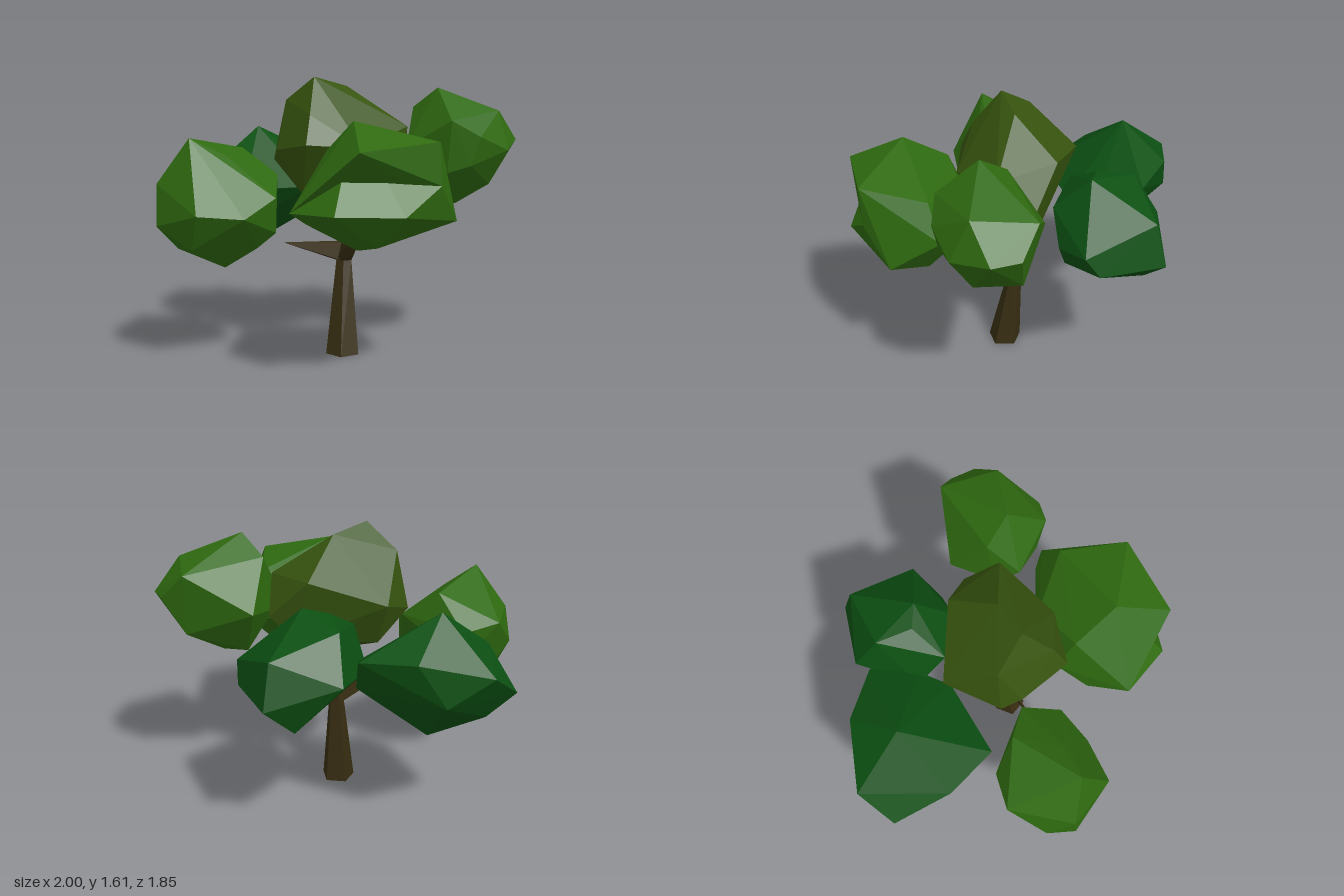
import * as THREE from 'three';
import { ConvexGeometry } from 'three/addons/geometries/ConvexGeometry.js';

const mat = (name, color) => {
  const m = new THREE.MeshStandardMaterial({ color, flatShading: true });
  m.name = name;
  return m;
};

// faceted solid wrapped around a few corner points
function hull(name, material, points) {
  const geo = new ConvexGeometry(points.map(p => new THREE.Vector3(...p)));
  const mesh = new THREE.Mesh(geo, material);
  mesh.name = name;
  return mesh;
}

// five-sided ring of corners for the trunk
function ring(cx, y, cz, rx, rz, tilt = 0) {
  return Array.from({ length: 5 }, (_, i) => {
    const a = (i / 5) * Math.PI * 2 + Math.PI / 2;
    return [cx + rx * Math.cos(a), y - tilt * Math.sin(a), cz + rz * Math.sin(a)];
  });
}

export function createModel() {
  const tree = new THREE.Group();
  tree.name = 'tree';
  const bark = mat('bark brown', 0x382e12);
  const leaf = mat('leaf green', 0x2f6a10);
  const olive = mat('olive green', 0x37540f);
  const deep = mat('deep green', 0x0c5012);

  // leaning trunk and its short branches
  const neck = ring(0.005, 0.545, -0.02, 0.047, 0.037);
  const crook = ring(0.02, 0.66, -0.035, 0.035, 0.028, 0.01);
  tree.add(
    hull('trunk', bark, [...ring(0.005, 0, 0.05, 0.1, 0.1), ...neck]),
    hull('trunkTop', bark, [...neck, ...crook]),
    hull('frontBranch', bark, [...neck, ...crook, [0.12, 0.7, 0.27], [0.07, 0.61, 0.2], [0.05, 0.69, 0.24]]),
    hull('sideBranch', bark, [neck[0], neck[1], crook[0], crook[1], [-0.32, 0.68, 0.2]]),
  );

  // side clump
  tree.add(hull('sideFoliage', leaf, [
    [-0.78, 1.28, 0.45], [-0.57, 1.21, 0.09], [-0.6, 1.18, 0.36], [-0.36, 1.06, 0.13],
    [-0.33, 0.95, 0.35], [-0.34, 0.75, 0.3], [-0.63, 0.55, 0.31], [-0.9, 0.65, 0.3],
    [-1, 0.86, 0.3], [-0.97, 1.03, 0.44], [-0.72, 1, 0.01], [-0.92, 1.05, 0.08],
    [-0.7, 0.88, 0.63], [-0.47, 0.85, 0.51], [-0.76, 0.68, 0.52], [-0.72, 0.83, 0.02],
    [-0.97, 0.8, 0.46], [-0.45, 0.66, 0.3], [-0.85, 0.7, 0.14],
  ]));

  // front clump: two overlapping lobes leave a notch between their noses
  const core = [
    [0.12, 1.38, 0.6], [0.51, 1.23, 0.3], [0.57, 1.06, 0.66], [0.65, 0.86, 0.48],
    [0.45, 0.78, 0.34], [0.13, 0.69, 0.47], [-0.14, 0.83, 0.5], [-0.19, 0.92, 0.73],
    [-0.04, 1.22, 0.4], [-0.08, 0.98, 0.31], [0.18, 0.88, 0.19], [0.5, 1, 0.17],
    [0.6, 1.05, 0.2], [0.25, 1.06, 0.72], [0.2, 1.1, 0.2],
  ];
  tree.add(
    hull('frontFoliageUpper', leaf, [...core, [0.18, 1.24, 0.91], [0.56, 1.28, 0.67]]),
    hull('frontFoliageLower', leaf, [...core, [0.06, 0.93, 0.92], [0.4, 0.92, 0.83], [0.25, 0.74, 0.67]]),
  );

  // high clump on the other side
  tree.add(hull('highFoliage', leaf, [
    [0.54, 1.55, 0], [0.4, 1.44, -0.1], [0.42, 1.17, -0.31], [0.78, 1.4, -0.38],
    [0.92, 1.26, -0.34], [0.89, 1.42, -0.07], [1, 1.25, -0.21], [0.94, 1.2, 0.02],
    [0.78, 1.28, 0.17], [0.62, 1.37, 0.21], [0.73, 1.12, 0.16], [0.84, 1, -0.06],
    [0.8, 1.04, -0.31], [0.65, 0.88, -0.1], [0.5, 0.89, -0.13], [0.37, 1.22, 0.08],
    [0.36, 1.12, -0.05], [0.6, 1.08, 0.17],
  ]));

  // crown
  tree.add(hull('crownFoliage', olive, [
    [-0.15, 1.61, 0.11], [0.02, 1.56, -0.02], [0.35, 1.14, -0.23], [0.37, 1.33, -0.03],
    [0.34, 1.12, 0], [-0.33, 1.48, 0], [-0.36, 1.2, 0.13], [-0.4, 1.14, 0.02],
    [-0.31, 1.25, -0.29], [0.12, 1.36, -0.29], [-0.16, 1.24, 0.36], [0.14, 1.22, 0.28],
    [-0.1, 0.9, 0], [0.15, 0.92, -0.05], [-0.2, 0.95, 0.2], [-0.25, 1, -0.18],
    [0.2, 1, -0.22], [-0.15, 1.4, 0.28],
  ]));

  // two darker clumps behind
  tree.add(
    hull('backSideFoliage', deep, [
      [-1, 0.9, -0.52], [-0.88, 1.05, -0.71], [-0.65, 0.9, -0.77], [-0.5, 1.13, -0.78],
      [-0.2, 1.1, -0.71], [-0.18, 0.92, -0.62], [-0.17, 1, -0.45], [-0.22, 0.95, -0.27],
      [-0.59, 0.95, -0.02], [-0.85, 1.05, -0.22], [-0.6, 1.31, -0.5], [-0.55, 0.61, -0.5],
      [-0.3, 0.76, -0.47], [-0.85, 0.74, -0.5], [-0.6, 0.75, -0.18],
    ]),
    hull('backFoliage', deep, [
      [0.24, 0.9, -0.93], [0.22, 1.14, -0.86], [-0.14, 1, -0.81], [-0.1, 1.24, -0.67],
      [-0.02, 1.27, -0.48], [0.12, 1.29, -0.48], [-0.22, 0.95, -0.45], [-0.13, 1.15, -0.3],
      [0.15, 1.1, -0.28], [0.31, 0.95, -0.36], [0.46, 1.01, -0.54], [0.44, 0.9, -0.62],
      [0.12, 0.69, -0.6], [0.11, 0.73, -0.8], [-0.08, 0.82, -0.4], [0.25, 0.82, -0.38],
    ]),
  );
  return tree;
}
